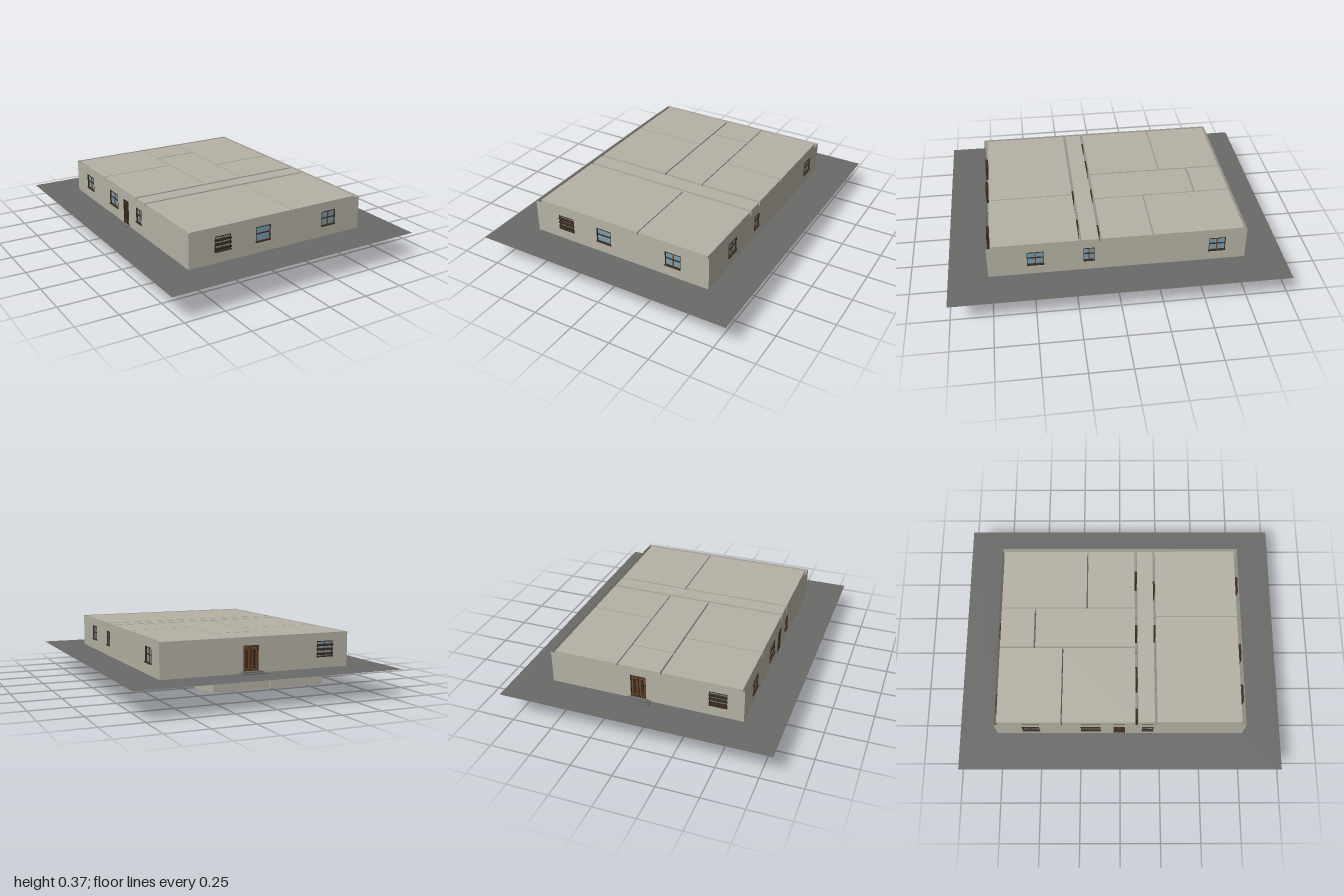
import * as THREE from 'three';

const mat = (name, color) => {
  const m = new THREE.MeshStandardMaterial({ color, side: THREE.DoubleSide });
  m.name = name;
  return m;
};

export function createModel() {
  const plaster = mat('plaster', 0xb5b1a5);
  const paving = mat('paving', 0x6a6a68);
  const floorWood = mat('floor wood', 0x643f24);
  const darkWood = mat('dark wood', 0x3a2a1e);
  const oak = mat('oak', 0x6b4526);
  const glass = mat('window glass', 0x7a9cae);

  const GROUND = 0.165, TOP = 0.37, HX = 0.59, HZ = 0.765;
  const model = new THREE.Group();
  model.name = 'house';

  const add = (parent, name, geometry, material) => {
    const m = new THREE.Mesh(geometry, material);
    m.name = name;
    parent.add(m);
    return m;
  };
  // Box given by its limits on each axis
  const box = (parent, name, material, x0, x1, y0, y1, z0, z1) =>
    add(parent, name, new THREE.BoxGeometry(x1 - x0, y1 - y0, z1 - z0)
      .translate((x0 + x1) / 2, (y0 + y1) / 2, (z0 + z1) / 2), material);
  // Horizontal sheet
  const sheet = (parent, name, material, x0, x1, z0, z1, y) =>
    add(parent, name, new THREE.PlaneGeometry(x1 - x0, z1 - z0).rotateX(-Math.PI / 2)
      .translate((x0 + x1) / 2, y, (z0 + z1) / 2), material);
  // Four upright sheets around a room
  const roomWalls = (parent, name, x0, x1, z0, z1, y0, y1) => {
    const h = y1 - y0, y = (y0 + y1) / 2, cx = (x0 + x1) / 2, cz = (z0 + z1) / 2;
    [[x1 - x0, cx, z1, 0], [x1 - x0, cx, z0, Math.PI],
      [z1 - z0, x1, cz, Math.PI / 2], [z1 - z0, x0, cz, -Math.PI / 2]].forEach(([w, x, z, turn]) => {
      add(parent, name, new THREE.PlaneGeometry(w, h).rotateY(turn).translate(x, y, z), plaster);
    });
  };
  const rectPath = (P, x0, x1, y0, y1) => {
    const p = new P();
    p.moveTo(x0, y0).lineTo(x1, y0).lineTo(x1, y1).lineTo(x0, y1).closePath();
    return p;
  };

  // Paved ground with an opening under the house
  const yard = rectPath(THREE.Shape, -0.82, 0.82, -1, 1);
  yard.holes.push(rectPath(THREE.Path, -HX, HX, -HZ, HZ));
  add(model, 'ground', new THREE.ShapeGeometry(yard).rotateX(-Math.PI / 2), paving).position.y = GROUND;

  // Window or door filling one wall opening
  const opening = (wall, kind, a, b) => {
    const g = new THREE.Group();
    const door = kind === 'door';
    g.name = door ? 'door' : 'window';
    wall.add(g);
    const y0 = door ? GROUND + 0.003 : 0.232, y1 = 0.323, t = 0.005;
    const back = -0.016, front = 0.001, mid = (a + b) / 2;
    add(g, 'pane', new THREE.PlaneGeometry(b - a, y1 - y0)
      .translate(mid, (y0 + y1) / 2, -0.008), door ? oak : glass);
    box(g, 'frameSide', darkWood, a, a + t * 0.6, y0, y1, back, front);
    box(g, 'frameSide', darkWood, b - t * 0.6, b, y0, y1, back, front);
    box(g, 'frameHead', darkWood, a, b, y1 - t, y1, back, front);
    if (door) {
      box(g, 'doorStile', darkWood, mid - 0.003, mid + 0.003, y0, y1, -0.01, -0.003);
      box(g, 'doorRail', darkWood, a, b, y0, y0 + 0.012, -0.01, -0.003);
      for (const s of [-1, 1]) {
        const c = mid + s * (b - a) * 0.25;
        box(g, 'doorPanel', darkWood, c - 0.008, c + 0.008, y0 + 0.025, y1 - 0.025, -0.01, -0.005);
      }
      return;
    }
    box(g, 'sill', darkWood, a - 0.002, b + 0.002, y0 - 0.003, y0 + 0.003, back, 0.006);
    if (kind === 'slats') {
      for (const y of [0.247, 0.274, 0.299]) {
        box(g, 'slat', darkWood, a - 0.002, b + 0.002, y - 0.006, y + 0.006, -0.01, 0.005);
      }
      box(g, 'mullion', oak, mid - 0.002, mid + 0.002, y0, y1, -0.01, -0.004);
      return;
    }
    box(g, 'meetingRail', darkWood, a, b, 0.276, 0.282, -0.01, -0.003);
    if (kind === 'cross') {
      box(g, 'mullion', oak, mid - 0.003, mid + 0.003, y0, y1, -0.01, -0.004);
    }
  };

  // Outer walls: half width, distance, turn, then openings along the wall
  const outerWalls = [
    ['frontWall', HX, HZ, 0, [['slats', -0.425, -0.32], ['sash', -0.155, -0.055], ['cross', 0.31, 0.41]]],
    ['backWall', HX, HZ, Math.PI, [['door', -0.09, 0.005], ['slats', 0.385, 0.49]]],
    ['leftSideWall', HZ, HX, Math.PI / 2, [['cross', -0.535, -0.437], ['cross', -0.205, -0.14], ['cross', 0.54, 0.64]]],
    ['rightSideWall', HZ, HX, -Math.PI / 2, [['cross', -0.6, -0.495], ['cross', -0.24, -0.12],
      ['door', -0.04, 0.03], ['cross', 0.135, 0.205]]],
  ];
  for (const [name, half, dist, turn, list] of outerWalls) {
    const g = new THREE.Group();
    g.name = name;
    const face = rectPath(THREE.Shape, -half, half, GROUND, TOP);
    for (const [kind, a, b] of list) {
      const y0 = kind === 'door' ? GROUND + 0.003 : 0.232;
      face.holes.push(rectPath(THREE.Path, a, b, y0, 0.323));
      opening(g, kind, a, b);
    }
    add(g, 'wallFace', new THREE.ShapeGeometry(face), plaster);
    g.rotation.y = turn;
    g.position.set(Math.sin(turn) * dist, 0, Math.cos(turn) * dist);
    model.add(g);
  }

  // Rooms: x range, z range, floor
  const rooms = [
    ['backRightRoom', -0.573, -0.096, -0.75, -0.36, floorWood],
    ['middleRightRoom', -0.573, -0.096, -0.353, 0.095, floorWood],
    ['entrance', -0.087, 0.171, -0.75, -0.54, floorWood],
    ['hall', -0.087, 0.171, -0.53, 0.095, floorWood],
    ['backLeftRoom', 0.178, 0.571, -0.75, -0.212, floorWood],
    ['middleLeftRoom', 0.178, 0.571, -0.204, 0.095, paving],
    ['corridor', -0.573, 0.571, 0.112, 0.212, floorWood],
    ['frontRightRoom', -0.573, 0.112, 0.228, 0.742, floorWood],
    ['frontLeftRoom', 0.119, 0.571, 0.228, 0.742, floorWood],
  ];
  for (const [name, x0, x1, z0, z1, floor] of rooms) {
    const g = new THREE.Group();
    g.name = name;
    model.add(g);
    roomWalls(g, 'innerWall', x0, x1, z0, z1, GROUND, TOP - 0.001);
    sheet(g, 'ceiling', plaster, x0, x1, z0, z1, TOP - 0.001);
    sheet(g, 'floor', floor, x0, x1, z0, z1, GROUND + 0.002);
  }

  // Inner doors set in the gaps between rooms
  for (const [x0, x1, z0, z1] of [
    [-0.54, -0.475, 0.096, 0.111], [-0.325, -0.205, 0.096, 0.111], [0.01, 0.075, 0.096, 0.111],
    [0.38, 0.45, 0.096, 0.111], [0.01, 0.075, 0.213, 0.227], [0.31, 0.38, 0.213, 0.227],
    [-0.095, -0.088, -0.36, -0.28], [-0.095, -0.088, -0.17, 0.09], [0.172, 0.177, -0.68, -0.61],
    [0.172, 0.177, -0.06, 0.005], [-0.57, -0.1, -0.359, -0.354],
  ]) box(model, 'innerDoor', darkWood, x0, x1, GROUND + 0.003, 0.323, z0, z1);

  // Basement: two rooms and a lower strip beside the stair
  const basement = new THREE.Group();
  basement.name = 'basement';
  model.add(basement);
  roomWalls(basement, 'basementWall', -0.573, -0.212, -0.525, 0.098, 0.015, GROUND);
  roomWalls(basement, 'basementWall', -0.203, 0.17, -0.525, 0.098, 0.015, GROUND);
  sheet(basement, 'basementFloor', paving, -0.573, -0.212, -0.525, 0.098, 0.015);
  sheet(basement, 'basementFloor', paving, -0.203, 0.1, -0.525, 0.098, 0.015);
  sheet(basement, 'stairFloor', paving, 0.1, 0.17, -0.41, 0.098, 0);
  roomWalls(basement, 'stairFooting', 0.1, 0.17, -0.41, 0.098, 0, 0.015);

  // Stair along the basement wall
  const steps = 12;
  for (let i = 0; i < steps; i++) {
    const z = -0.17 - 0.02 * i, y = 0.015 + 0.0125 * (i + 1);
    box(basement, 'stairTread', oak, 0.1, 0.168, y - 0.004, y, z - 0.022, z);
  }
  const slope = Math.atan2(0.15, 0.24);
  for (const x of [0.1, 0.17]) {
    const s = add(basement, 'stairStringer', new THREE.BoxGeometry(0.005, 0.014, 0.275), oak);
    s.position.set(x, 0.09, -0.29);
    s.rotation.x = slope;
  }

  // Floor joist ends above the basement wall
  for (let i = 0; i < 16; i++) {
    const z = -0.5 + i * 0.038;
    box(model, 'joistEnd', darkWood, 0.165, 0.174, GROUND - 0.004, GROUND, z, z + 0.008);
  }

  // Sunken blocks and door steps
  box(model, 'sunkenBlock', paving, 0.2, 0.235, 0.135, GROUND - 0.001, -0.32, -0.135);
  box(model, 'lightWell', paving, -0.627, -0.59, 0.125, GROUND + 0.002, -0.25, -0.15);
  box(model, 'sideStep', paving, -0.618, -0.59, 0.15, GROUND + 0.004, -0.045, 0.035);
  box(model, 'backStep', paving, -0.035, 0.115, GROUND, GROUND + 0.006, -0.82, -HZ);
  box(model, 'backStepUpper', paving, -0.02, 0.1, GROUND + 0.006, GROUND + 0.013, -0.795, -HZ);

  return model;
}
